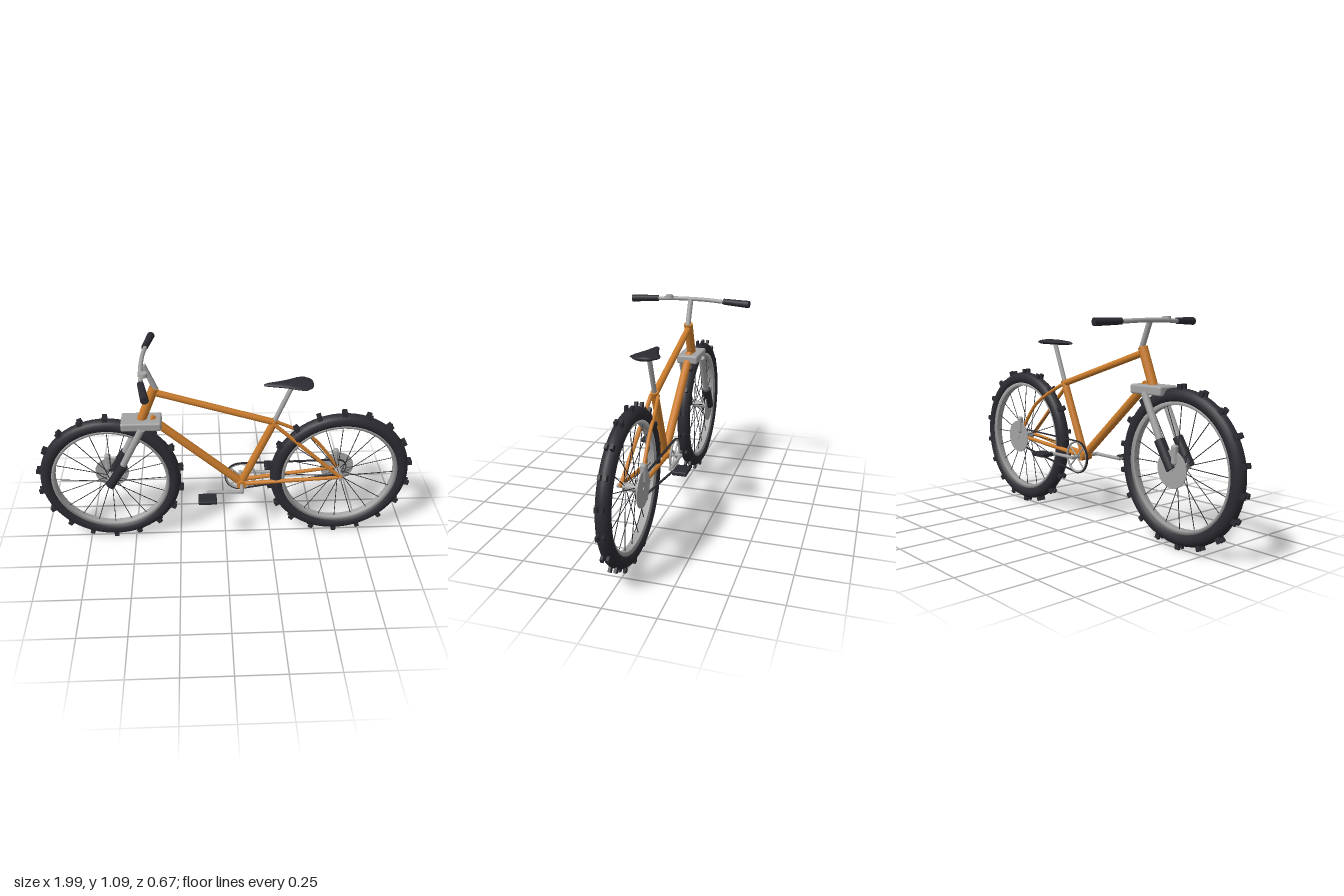
import * as THREE from 'three';
import { RoundedBoxGeometry } from 'three/addons/geometries/RoundedBoxGeometry.js';

const material = (name, color) => {
  const m = new THREE.MeshStandardMaterial({ color });
  m.name = name;
  return m;
};
const V = (x, y, z = 0) => new THREE.Vector3(x, y, z);

export function createModel() {
  const orange = material('orange paint', 0xcb7c2c);
  const grey = material('grey metal', 0xa3a3a3);
  const black = material('black rubber', 0x2b2b32);
  const bike = new THREE.Group();
  bike.name = 'bicycle';

  const add = (name, geometry, mat, pos = V(0, 0), parent = bike) => {
    const mesh = new THREE.Mesh(geometry, mat);
    mesh.name = name;
    mesh.position.copy(pos);
    parent.add(mesh);
    return mesh;
  };
  // Straight tube from a to b
  const rod = (name, a, b, r, mat, parent = bike, rEnd = r, sides = 16) => {
    const d = b.clone().sub(a);
    const mesh = add(name, new THREE.CylinderGeometry(rEnd, r, d.length(), sides), mat,
      a.clone().add(b).multiplyScalar(0.5), parent);
    mesh.quaternion.setFromUnitVectors(V(0, 1), d.normalize());
    return mesh;
  };
  const bent = (name, points, r, mat) =>
    add(name, new THREE.TubeGeometry(new THREE.CatmullRomCurve3(points), 24, r, 12), mat);

  // Wheels: knobbly tyre, rim, spokes, hub, brake disc and caliper
  const knobGeo = new THREE.BoxGeometry(0.024, 0.03, 0.013);
  const rimGeo = new THREE.LatheGeometry(
    [[0.294, -0.017], [0.312, -0.024], [0.312, 0.024], [0.294, 0.017], [0.294, -0.017]]
      .map(([x, y]) => new THREE.Vector2(x, y)), 64).rotateX(Math.PI / 2);
  const makeWheel = (name, x) => {
    const wheel = new THREE.Group();
    wheel.name = name;
    wheel.position.set(x, 0.392, 0);
    bike.add(wheel);
    add('tyre', new THREE.TorusGeometry(0.337, 0.035, 16, 72), black, V(0, 0), wheel);
    const rim = add('rim', rimGeo, grey, V(0, 0), wheel);
    rim.material = grey;
    for (let i = 0; i < 18; i++) {
      const a = Math.PI / 2 + (i * Math.PI) / 9;
      for (const z of [-0.0135, 0.0135]) {
        const knob = add('tyreKnob', knobGeo, black,
          V(Math.cos(a) * 0.376, Math.sin(a) * 0.376, z), wheel);
        knob.rotation.z = a - Math.PI / 2;
      }
    }
    for (let i = 0; i < 20; i++) {
      const a = Math.PI / 2 + (i * Math.PI) / 10;
      rod('spoke', V(Math.cos(a) * 0.015, Math.sin(a) * 0.015, i % 2 ? 0.025 : -0.025),
        V(Math.cos(a) * 0.298, Math.sin(a) * 0.298), 0.002, black, wheel, 0.002, 6);
    }
    rod('hub', V(0, 0, -0.035), V(0, 0, 0.035), 0.02, grey, wheel);
    rod('axle', V(0, 0, -0.066), V(0, 0, 0.066), 0.009, grey, wheel);
    rod('brakeDisc', V(0, 0, -0.062), V(0, 0, -0.057), 0.09, grey, wheel, 0.09, 40);
    add('brakeCaliper', new RoundedBoxGeometry(0.032, 0.095, 0.03, 3, 0.012), grey,
      V(-0.015, 0.07, -0.058), wheel);
  };
  makeWheel('frontWheel', -0.61);
  makeWheel('rearWheel', 0.61);

  // Frame
  const crankCentre = V(0.085, 0.347);
  const seatJoint = V(0.25, 0.725);
  rod('headTube', V(-0.425, 0.76), V(-0.352, 0.942), 0.024, orange);
  rod('topTube', V(-0.355, 0.915), seatJoint, 0.017, orange);
  rod('downTube', V(-0.38, 0.765), crankCentre, 0.022, orange);
  rod('seatTube', crankCentre, V(0.255, 0.738), 0.02, orange);
  rod('bottomBracket', V(0.085, 0.347, -0.035), V(0.085, 0.347, 0.035), 0.024, orange);
  for (const s of [-1, 1]) {
    rod('chainStay', V(0.085, 0.35, s * 0.02), V(0.61, 0.397, s * 0.047), 0.012, orange, bike, 0.009);
    add('dropout', new THREE.SphereGeometry(0.013, 12, 8), orange, V(0.61, 0.397, s * 0.047));
  }
  rod('leftSeatStay', V(0.25, 0.72, 0.018), V(0.61, 0.397, 0.047), 0.01, orange);
  bent('rightSeatStay', [V(0.25, 0.72, -0.018), V(0.36, 0.66, -0.034),
    V(0.46, 0.595, -0.042), V(0.54, 0.5, -0.046), V(0.61, 0.397, -0.047)], 0.009, orange);

  // Seat post and saddle
  rod('seatPost', V(0.24, 0.705), V(0.334, 0.94), 0.012, grey);
  add('saddle', saddleGeometry(), black);

  // Suspension fork
  add('forkCrown', new RoundedBoxGeometry(0.204, 0.046, 0.118, 3, 0.01), grey, V(-0.427, 0.744));
  for (const s of [-1, 1]) {
    rod('forkUpperLeg', V(-0.535, 0.515, s * 0.06), V(-0.424, 0.735, s * 0.06), 0.0175, grey);
    rod('forkLowerLeg', V(-0.61, 0.392, s * 0.063), V(-0.53, 0.52, s * 0.063), 0.025, black);
  }

  // Stem, handlebar, grips and bell
  rod('stem', V(-0.345, 0.935), V(-0.398, 1.066), 0.014, grey);
  bent('handlebar', [V(-0.375, 1.065, -0.31), V(-0.398, 1.066, -0.18), V(-0.407, 1.07, -0.08),
    V(-0.407, 1.07, 0.08), V(-0.398, 1.066, 0.18), V(-0.375, 1.065, 0.31)], 0.011, grey);
  for (const s of [-1, 1])
    rod('grip', V(-0.4, 1.067, s * 0.185), V(-0.374, 1.064, s * 0.33), 0.016, black, bike, 0.0195);
  rod('bell', V(-0.392, 1.072, 0.12), V(-0.392, 1.09, 0.12), 0.023, grey, bike, 0.02, 20);

  // Chainring, sprocket and chain
  const chainZ = -0.053;
  add('chainring', new THREE.TorusGeometry(0.08, 0.006, 8, 40), grey, V(0.085, 0.347, chainZ));
  rod('sprocket', V(0.61, 0.392, -0.055), V(0.61, 0.392, -0.049), 0.046, grey, bike, 0.046, 24);
  for (let i = 0; i < 4; i++) {
    const a = Math.PI / 4 + (i * Math.PI) / 2;
    rod('chainringArm', V(0.085, 0.347, chainZ),
      V(0.085 + Math.cos(a) * 0.08, 0.347 + Math.sin(a) * 0.08, chainZ), 0.004, grey);
  }
  const chainLoop = (grow) => {
    const p = new THREE.Path();
    p.absarc(0.085, 0.347, 0.082 + grow, Math.PI / 2, Math.PI * 1.5, false);
    p.absarc(0.61, 0.392, 0.046 + grow, -Math.PI / 2, Math.PI / 2, false);
    p.closePath();
    return p;
  };
  const chainShape = new THREE.Shape(chainLoop(0.006).getPoints(24));
  chainShape.holes.push(new THREE.Path(chainLoop(0).getPoints(24)));
  add('chain', new THREE.ExtrudeGeometry(chainShape, { depth: 0.01, bevelEnabled: false }),
    black, V(0, 0, chainZ - 0.005));

  // Cranks and pedals
  rod('crankAxle', V(0.085, 0.347, -0.094), V(0.085, 0.347, 0.094), 0.01, grey);
  for (const s of [-1, 1]) {
    const x = 0.085 - s * 0.184;
    rod('crankArm', V(0.085, 0.347, s * 0.086), V(x - s * 0.004, 0.347, s * 0.086), 0.009, grey);
    rod('pedalSpindle', V(x, 0.347, s * 0.086), V(x, 0.347, s * 0.12), 0.005, grey);
    add('pedal', new RoundedBoxGeometry(0.095, 0.021, 0.074, 2, 0.005), black,
      V(x, 0.347, s * 0.143));
  }
  return bike;
}

// Lens-shaped cross-sections lofted from the nose to the tail
function saddleGeometry() {
  // x, half width, middle height, half thickness
  const stations = [[0.19, 0.006, 0.942, 0.004], [0.21, 0.014, 0.944, 0.009], [0.26, 0.026, 0.945, 0.012],
    [0.31, 0.042, 0.946, 0.014], [0.36, 0.066, 0.947, 0.014], [0.395, 0.073, 0.947, 0.014],
    [0.425, 0.05, 0.947, 0.012], [0.435, 0.03, 0.947, 0.008]];
  const n = 16, pos = [], idx = [];
  for (const [x, w, y, h] of stations)
    for (let j = 0; j < n; j++) {
      const a = (j / n) * Math.PI * 2;
      pos.push(x, y + h * Math.sin(a) * Math.abs(Math.sin(a)) ** 0.4, w * Math.cos(a));
    }
  for (let i = 0; i < stations.length - 1; i++)
    for (let j = 0; j < n; j++) {
      const a = i * n + j, b = i * n + ((j + 1) % n);
      idx.push(a, b, a + n, b, b + n, a + n);
    }
  const last = (stations.length - 1) * n;
  for (let j = 1; j < n - 1; j++) idx.push(0, j + 1, j, last, last + j, last + j + 1);
  // Flip any winding that faces inward
  const g = new THREE.BufferGeometry();
  g.setAttribute('position', new THREE.Float32BufferAttribute(pos, 3));
  for (let k = 0; k < idx.length; k += 3) [idx[k + 1], idx[k + 2]] = [idx[k + 2], idx[k + 1]];
  g.setIndex(idx);
  g.computeVertexNormals();
  return g;
}
